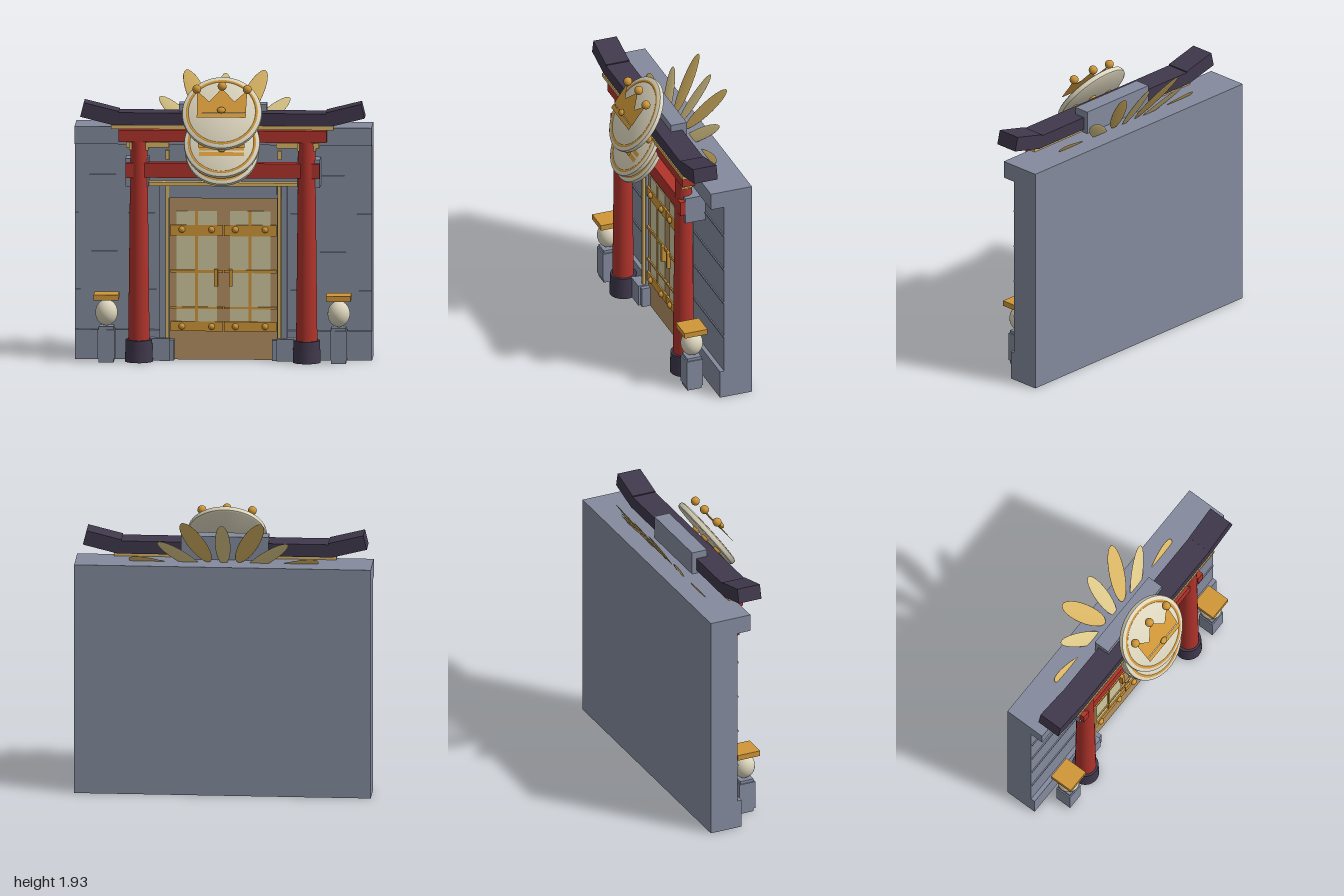
import * as THREE from 'three';
import { toCreasedNormals } from 'three/addons/utils/BufferGeometryUtils.js';

const mat = (name, color, side = THREE.FrontSide) => {
  const m = new THREE.MeshStandardMaterial({ color, side });
  m.name = name;
  return m;
};

export function createModel() {
  const root = new THREE.Group();
  root.name = 'shrineGate';
  const stone = mat('stone', 0x848b9e);
  const red = mat('redLacquer', 0xb0332b);
  const dark = mat('darkRoof', 0x40384c);
  const gold = mat('gold', 0xcf9638, THREE.DoubleSide);
  const trim = mat('paleTrim', 0xd9b564);
  const wood = mat('doorWood', 0xb39062);
  const paper = mat('paperPanel', 0xd0c8a0);
  const ivory = mat('ivory', 0xdcd5bd);
  const petalPale = mat('palePetal', 0xdcc888);

  const add = (name, geo, material, x = 0, y = 0, z = 0, parent = root) => {
    const m = new THREE.Mesh(geo, material);
    m.name = name;
    m.position.set(x, y, z);
    parent.add(m);
    return m;
  };
  // box given by its extents
  const box = (name, material, x0, x1, y0, y1, z0, z1, parent = root) =>
    add(name, new THREE.BoxGeometry(x1 - x0, y1 - y0, z1 - z0), material,
      (x0 + x1) / 2, (y0 + y1) / 2, (z0 + z1) / 2, parent);
  // the same box on both sides
  const pair = (name, material, x0, x1, ...yz) => {
    box(name + 'Left', material, x0, x1, ...yz);
    box(name + 'Right', material, -x1, -x0, ...yz);
  };

  // Wall with plinth, cornice and thin course lines
  box('wall', stone, -1, 1, 0, 1.59, -0.26, -0.06);
  box('wallCornice', stone, -1, 1, 1.47, 1.59, -0.06, 0.035);
  pair('wallPlinth', stone, 0.4, 1, 0, 0.2, -0.06, -0.03);
  for (const y of [0.46, 0.72, 0.98, 1.24]) pair('wallCourse', stone, 0.45, 0.995, y, y + 0.012, -0.06, -0.052);

  // Door leaves with paper panels and metal bands
  box('door', wood, -0.36, 0.36, 0, 1.1, -0.06, -0.04);
  box('doorLintel', stone, -0.39, 0.39, 1.1, 1.19, -0.06, -0.01);
  box('lintelTrim', trim, -0.5, 0.5, 1.185, 1.21, -0.06, 0.01);
  for (const s of [-1, 1]) {
    for (const x of [0.11, 0.25]) box('paperPanel', paper, s * x - 0.065, s * x + 0.065, 0.26, 1.01, -0.04, -0.035);
    box('doorMullion', gold, s * 0.18 - 0.01, s * 0.18 + 0.01, 0.26, 1.01, -0.04, -0.03);
    box('doorHandle', gold, s * 0.05 - 0.012, s * 0.05 + 0.012, 0.5, 0.615, -0.04, -0.01);
    for (const [y, h] of [[0.878, 0.075], [0.6, 0.02], [0.352, 0.014], [0.226, 0.065]])
      box('doorBand', gold, s * 0.18 - 0.177, s * 0.18 + 0.177, y - h / 2, y + h / 2, -0.04, -0.027);
    for (const x of [0.08, 0.28]) for (const y of [0.885, 0.226])
      add('doorStud', new THREE.SphereGeometry(0.022, 16, 10), gold, s * x, y, -0.025);
    // corner brace under the lintel
    const brace = new THREE.Shape([[0.36, 1.19], [0.36, 1.13], [0.33, 1.19]].map(p => new THREE.Vector2(s * p[0], p[1])));
    add('lintelBrace', new THREE.ExtrudeGeometry(brace, { depth: 0.01, bevelEnabled: false }), stone, 0, 0, -0.012);
  }
  pair('doorJamb', stone, 0.36, 0.43, 0.12, 1.19, -0.06, -0.02);
  pair('jambTrim', trim, 0.365, 0.39, 0.15, 1.2, -0.03, 0);
  pair('upperJambTrim', trim, 0.365, 0.39, 1.36, 1.42, -0.06, -0.03);
  pair('jambFoot', stone, 0.33, 0.46, 0, 0.14, -0.06, 0.02);
  pair('jambFootInner', stone, 0.36, 0.49, 0, 0.15, -0.06, 0.035);

  // Pillars on dark feet
  for (const s of [-1, 1]) {
    const x = s * 0.565;
    add('pillar', new THREE.CylinderGeometry(0.056, 0.072, 1.44, 32), red, x, 0.85, 0.066);
    add('pillarFoot', toCreasedNormals(new THREE.CylinderGeometry(0.089, 0.094, 0.15, 32), 0.6), dark, x, 0.075, 0.064);
  }

  // Cross beams and brackets
  box('lowerBeam', red, -0.65, 0.65, 1.255, 1.355, 0.03, 0.11);
  pair('lowerBeamEnd', red, 0.6, 0.652, 1.255, 1.355, 0.03, 0.122);
  pair('beamBracket', stone, 0.5, 0.655, 1.19, 1.38, -0.06, 0.085);
  pair('goldBracket', trim, 0.36, 0.65, 1.458, 1.492, -0.06, 0.09);
  pair('goldBracketLip', trim, 0.5, 0.63, 1.44, 1.492, 0.03, 0.1);
  box('upperBeam', red, -0.7, 0.7, 1.5, 1.58, 0.03, 0.125);
  box('ridgeTrim', trim, -0.75, 0.75, 1.59, 1.615, -0.01, 0.145);

  // Roof beam with raised ends
  box('roofBeam', dark, -0.72, 0.72, 1.612, 1.7, -0.03, 0.138);
  for (const s of [-1, 1]) {
    const end = box('roofBeamEnd', dark, -0.122, 0.122, -0.05, 0.05, -0.084, 0.084);
    end.position.set(s * 0.827, 1.689, 0.054);
    end.rotation.z = s * 0.245;
  }
  box('crestBlock', stone, -0.295, 0.295, 1.59, 1.75, -0.062, 0.05);

  // Tilted round emblems, each with a flat crown held in front
  const tilt = -0.61;
  const discProfile = [[0, -0.022], [0.255, -0.022], [0.267, -0.015], [0.27, 0],
    [0.267, 0.015], [0.255, 0.022], [0, 0.022]].map(p => new THREE.Vector2(...p));
  const discGeo = toCreasedNormals(new THREE.LatheGeometry(discProfile, 56).rotateX(Math.PI / 2), 0.8);
  const crownShape = new THREE.Shape([[-0.165, -0.04], [0.165, -0.04], [0.17, 0.13], [0.085, 0.045],
    [0, 0.145], [-0.085, 0.045], [-0.17, 0.13]].map(p => new THREE.Vector2(...p)));
  const crownGeo = new THREE.ShapeGeometry(crownShape);
  const ballGeo = new THREE.SphereGeometry(0.03, 20, 14);
  for (const [y, z, s] of [[1.705, 0.187, 1], [1.5, 0.19, 0.95], [1.437, 0.157, 0.92]]) {
    const e = new THREE.Group();
    e.name = 'emblem';
    e.position.set(0, y, z);
    e.rotation.x = tilt;
    e.scale.setScalar(s);
    root.add(e);
    add('emblemDisc', discGeo, ivory, 0, 0, 0, e);
    add('emblemRing', new THREE.TorusGeometry(0.234, 0.011, 8, 56), gold, 0, 0, 0.018, e).scale.z = 0.6;
    add('crown', crownGeo, gold, 0, 0, 0.09, e);
    add('crownBand', new THREE.PlaneGeometry(0.33, 0.032), gold, 0, -0.06, 0.092, e);
    add('crownUpperBand', new THREE.PlaneGeometry(0.33, 0.03), gold, 0, -0.015, 0.092, e);
    for (const [bx, by] of [[-0.17, 0.137], [0, 0.16], [0.17, 0.137]]) add('crownBall', ballGeo, gold, bx, by, 0.092, e);
    add('crownJewel', ballGeo, gold, 0, -0.03, 0.112, e).scale.set(0.95, 0.75, 0.5);
  }

  // Fan of thin petals leaning back behind the roof
  const fan = new THREE.Group();
  fan.name = 'petalFan';
  fan.position.set(0, 1.404, 0.007);
  fan.rotation.x = -0.62;
  root.add(fan);
  for (let i = -3; i <= 3; i++) {
    const long = i % 2 !== 0;
    const len = long ? 0.22 : 0.205;
    const r = long ? 0.47 : 0.41;
    const a = i * 0.397;
    const p = add('petal', new THREE.SphereGeometry(1, 24, 12), long ? trim : petalPale,
      Math.sin(a) * r, Math.cos(a) * r, 0, fan);
    p.scale.set(long ? 0.064 : 0.052, len, 0.005);
    p.rotation.z = -a;
  }

  // Standing lanterns
  for (const s of [-1, 1]) {
    const l = new THREE.Group();
    l.name = 'lantern';
    l.position.set(s * 0.782, 0, 0.09);
    root.add(l);
    box('lanternPost', stone, -0.05, 0.05, 0, 0.245, -0.05, 0.05, l);
    box('lanternPostBody', stone, -0.058, 0.058, 0.025, 0.225, -0.058, 0.058, l);
    add('lanternGlobe', new THREE.SphereGeometry(0.075, 28, 20), ivory, 0, 0.335, 0, l).scale.y = 1.17;
    box('lanternCap', gold, -0.083, 0.083, 0.427, 0.465, -0.083, 0.083, l);
  }
  return root;
}
